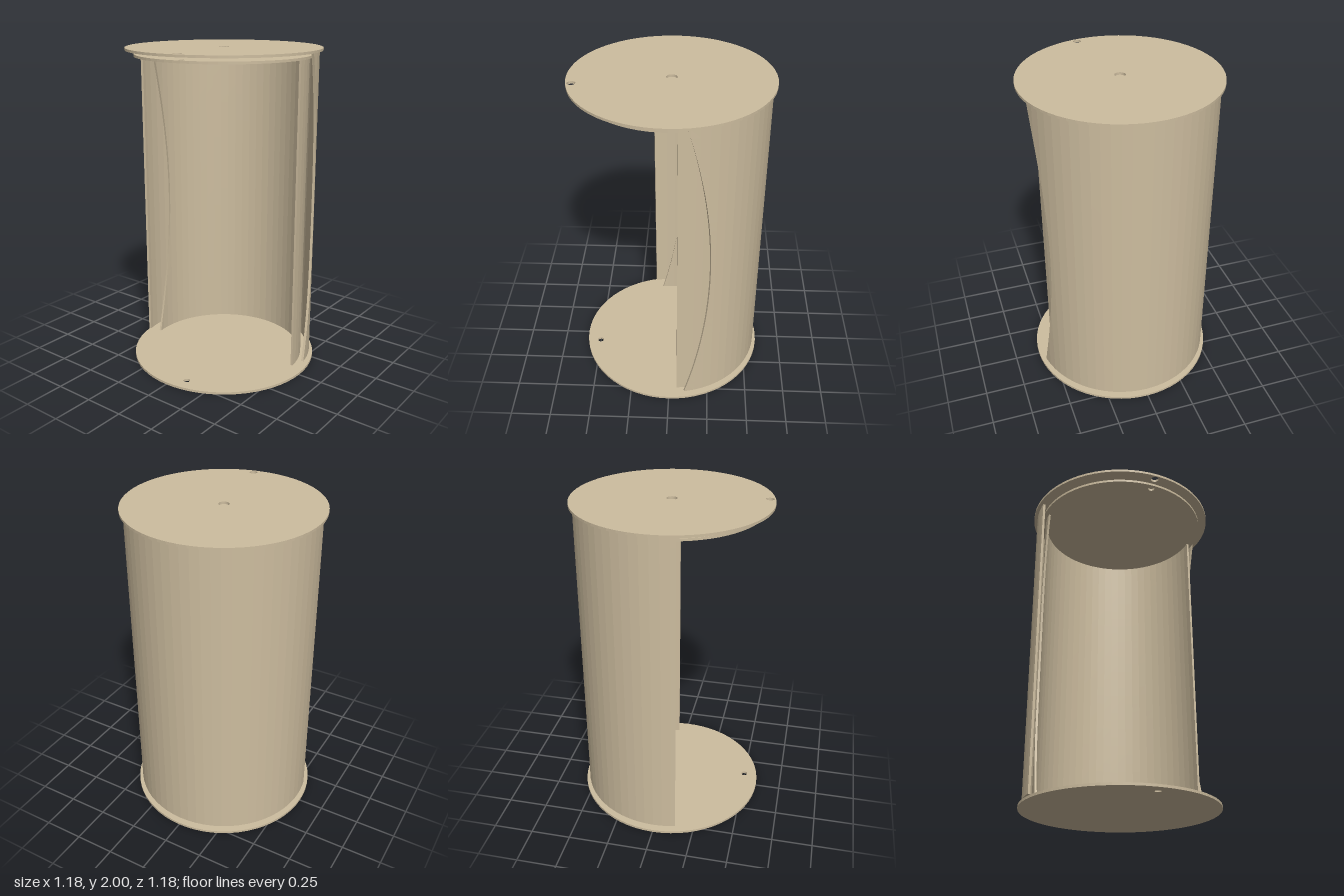
import * as THREE from 'three';

const SIDES = 64;
const STEP = (Math.PI * 2) / SIDES;

// Flat round plate with round holes given as [x, z, radius]
function plate(name, material, radius, y0, y1, holes) {
  const shape = new THREE.Shape();
  shape.absarc(0, 0, radius, 0, Math.PI * 2);
  for (const [x, z, r] of holes) {
    const hole = new THREE.Path();
    hole.absarc(x, -z, r, 0, Math.PI * 2, true);
    shape.holes.push(hole);
  }
  const geometry = new THREE.ExtrudeGeometry(shape, {
    depth: y1 - y0, bevelEnabled: false, curveSegments: SIDES / 2,
  });
  geometry.rotateX(-Math.PI / 2).translate(0, y0, 0);
  const mesh = new THREE.Mesh(geometry, material);
  mesh.name = name;
  return mesh;
}

// Curved wall around the back. leftZ and rightZ give the z of each
// vertical edge for t from -1 (bottom) to 1 (top).
function wall(name, material, outerR, innerR, y0, y1, leftZ, rightZ) {
  const rows = 32, half = 22, cols = half * 2;
  const point = (i, j, r) => {
    const t = (i / rows) * 2 - 1;
    const lo = -Math.acos(-leftZ(t) / outerR);
    const hi = Math.acos(-rightZ(t) / outerR);
    let a = (j - half) * STEP;
    if (j === 0 || a < lo) a = lo;
    if (j === cols || a > hi) a = hi;
    return [r * Math.sin(a), y0 + (y1 - y0) * (i / rows), -r * Math.cos(a)];
  };
  const O = (i, j) => point(i, j, outerR);
  const I = (i, j) => point(i, j, innerR);
  const out = [];
  const quad = (a, b, c, d) => out.push(...a, ...b, ...c, ...a, ...c, ...d);

  for (let i = 0; i < rows; i++) {
    for (let j = 0; j < cols; j++) {
      quad(O(i, j), O(i + 1, j), O(i + 1, j + 1), O(i, j + 1));
      quad(I(i, j), I(i, j + 1), I(i + 1, j + 1), I(i + 1, j));
    }
    // Cut edges
    quad(O(i, 0), I(i, 0), I(i + 1, 0), O(i + 1, 0));
    quad(O(i, cols), O(i + 1, cols), I(i + 1, cols), I(i, cols));
  }
  // Bottom and top rims
  for (let j = 0; j < cols; j++) {
    quad(O(0, j), O(0, j + 1), I(0, j + 1), I(0, j));
    quad(O(rows, j), I(rows, j), I(rows, j + 1), O(rows, j + 1));
  }
  const geometry = new THREE.BufferGeometry();
  geometry.setAttribute('position', new THREE.Float32BufferAttribute(out, 3));
  geometry.computeVertexNormals();
  const mesh = new THREE.Mesh(geometry, material);
  mesh.name = name;
  return mesh;
}

export function createModel() {
  const group = new THREE.Group();
  group.name = 'revolvingCylinderCase';
  const tan = new THREE.MeshStandardMaterial({ color: 0xcdbd9f });
  tan.name = 'tan';

  group.add(
    // Outer case: top plate and wall with a bowed right edge
    plate('outerTopPlate', tan, 0.592, 1.985, 2, [[0, 0, 0.032], [0.1, 0.55, 0.024]]),
    wall('outerWall', tan, 0.57, 0.555, 0.04, 1.986, () => 0.14, (t) => -0.245 + 0.145 * t * t),
    // Inner drum: bottom plate, top plate and wall with a bowed left edge
    plate('innerBottomPlate', tan, 0.592, 0, 0.015, [[0.09, 0.5, 0.02]]),
    plate('innerTopPlate', tan, 0.54, 1.948, 1.963, [[0.09, 0.5, 0.02]]),
    wall('innerWall', tan, 0.513, 0.5, 0.014, 1.95, (t) => -0.05 + 0.135 * t * t, () => -0.05),
  );
  return group;
}
